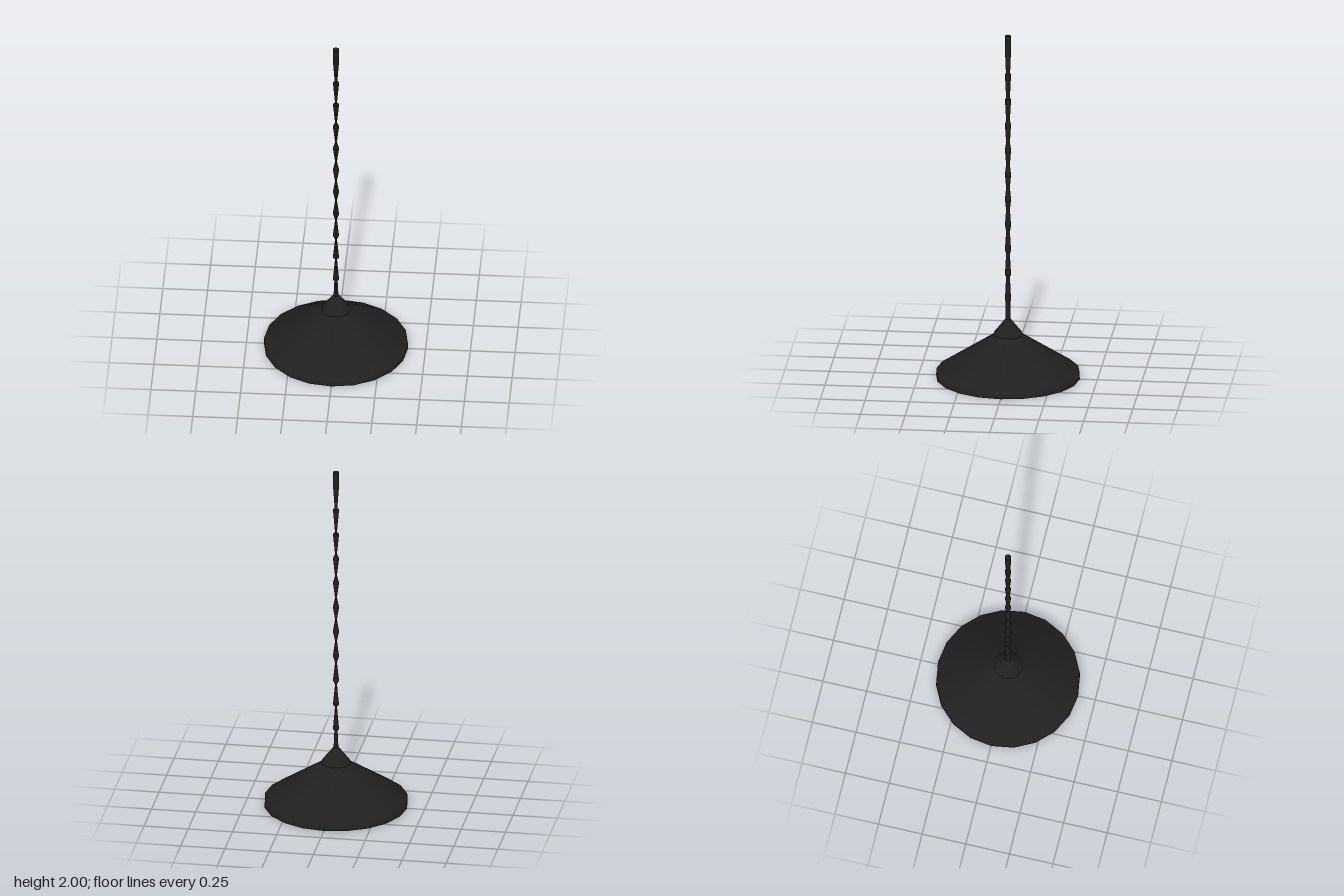
import * as THREE from 'three';

const material = new THREE.MeshStandardMaterial({ color: 0x202020, side: THREE.DoubleSide });

// Smooth turned part from [radius, height] pairs
function turned(name, profile, sides) {
  const points = profile.map(([r, y]) => new THREE.Vector2(r, y));
  const mesh = new THREE.Mesh(new THREE.LatheGeometry(points, sides), material);
  mesh.name = name;
  return mesh;
}

// Twisted cord: evenly spaced knots whose waists drift from above to below
function createCord() {
  const wide = 0.0175, thin = 0.005, knots = 10, top = 1.775, bottom = 0.45;
  const step = (top - bottom) / (knots - 1);
  // Doubled points keep an edge sharp
  const points = [[0, 2], [wide, 2], [wide, 2], [wide, 1.92], [0.007, top + 0.005]];
  for (let i = 0; i < knots; i++) {
    const y = top - i * step;
    points.push([wide, y], [wide, y]);
    if (i < knots - 1) {
      const drift = 0.95 - 0.9 * i / (knots - 2);
      points.push([thin, y - step * drift]);
    }
  }
  points.push([0.009, bottom - 0.006], [0.014, 0.335]);

  const cord = turned('cord', points.reverse(), 12);
  // The waists are pinched less from front to back than from side to side
  const pos = cord.geometry.attributes.position;
  for (let i = 0; i < pos.count; i++) {
    const r = Math.hypot(pos.getX(i), pos.getZ(i));
    if (r > 0.001) pos.setZ(i, pos.getZ(i) * (0.008 + 0.53 * r) / r);
  }
  cord.geometry.computeVertexNormals();
  return cord;
}

export function createModel() {
  const lamp = new THREE.Group();
  lamp.name = 'pendantLamp';

  // Wide conical shade with a short upright rim, open below
  lamp.add(turned('shade', [[0.402, 0], [0.401, 0.038], [0.08, 0.25]], 20));

  // Lip under the rim and the inner face of the shade
  lamp.add(turned('shadeLip', [[0.375, 0], [0.402, 0]], 20));
  lamp.add(turned('shadeLining', [[0, 0.235], [0.07, 0.235], [0.372, 0.033], [0.375, 0]], 20));

  // Conical cap that grips the cord, closed by a flat base
  lamp.add(turned('cap', [[0.082, 0.249], [0.078, 0.262], [0.014, 0.343]], 32));
  lamp.add(turned('capBase', [[0, 0.249], [0.082, 0.249]], 32));

  // Bulb set into the top of the shade
  const bulb = new THREE.Mesh(new THREE.SphereGeometry(0.083, 24, 16), material);
  bulb.name = 'bulb';
  bulb.position.y = 0.15;
  lamp.add(bulb);

  lamp.add(createCord());
  return lamp;
}
